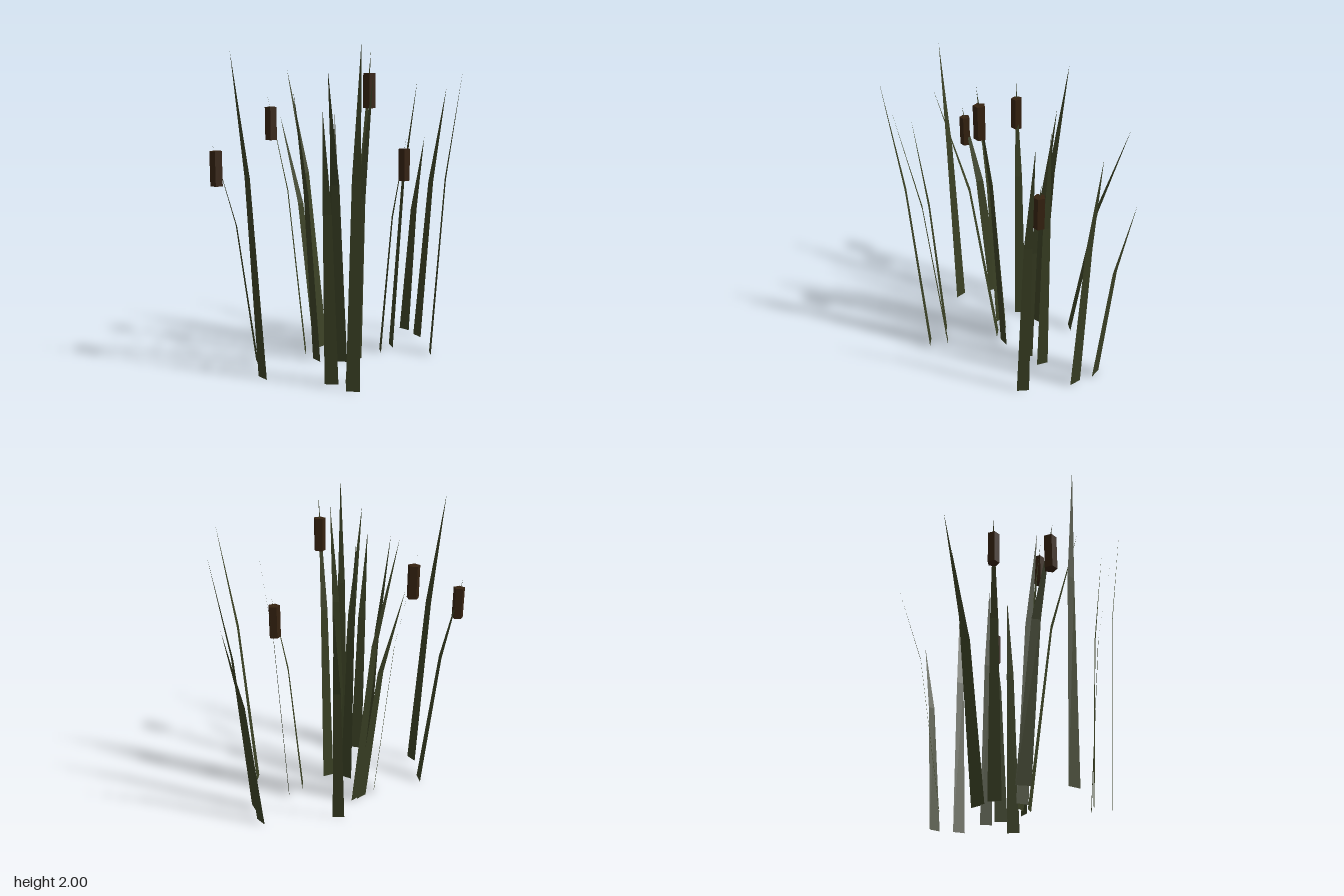
import * as THREE from 'three';

// Each leaf: base corner A (x, z), base corner B (x, z), tip (x, y, z)
const LEAVES = [
  [-0.006, -0.617, 0.076, -0.61, 0.063, 1.40, -0.82],
  [0.146, -0.557, 0.224, -0.526, 0.298, 1.76, -0.704],
  [-0.328, -0.2, -0.272, -0.252, -0.51, 1.57, -0.5],
  [0.459, -0.252, 0.41, -0.317, 0.554, 1.86, -0.435],
  [0.11, -0.283, 0.172, -0.235, 0.265, 1.81, -0.36],
  [-0.054, 0.17, 0.024, 0.148, 0.042, 1.70, 0.295],
  [0.0, 0.2, 0.072, 0.165, 0.19, 1.87, 0.515],
  [-0.15, 0.24, -0.071, 0.265, -0.137, 1.75, 0.426],
  [0.27, 0.46, 0.333, 0.41, 0.524, 1.82, 0.557],
  [0.34, 0.555, 0.41, 0.512, 0.51, 2.0, 0.648],
  [0.172, 0.54, 0.245, 0.498, 0.254, 1.66, 0.652],
  [-0.238, 0.674, -0.156, 0.69, -0.272, 1.97, 0.818],
  [-0.237, -0.028, -0.243, 0.052, -0.555, 1.89, -0.016],
  [-0.257, 0.095, -0.25, 0.015, -0.55, 1.57, 0.064],
];

// Each reed: the same leaf data, then the seed head centre (x, y, z)
const REEDS = [
  [0.11, -0.16, 0.163, -0.1, 0.235, 1.45, -0.285, 0.226, 1.26, -0.267],
  [0.11, 0.055, 0.08, 0.126, 0.242, 1.98, 0.155, 0.226, 1.745, 0.147],
  [-0.437, 0.478, -0.367, 0.53, -0.465, 1.46, 0.797, -0.456, 1.285, 0.767],
  [-0.285, 0.143, -0.24, 0.21, -0.445, 1.75, 0.322, -0.424, 1.535, 0.304],
];

// Flat leaf bent once at 63% of its height, narrowing to a point
function leafGeometry([ax, az, bx, bz, tx, ty, tz]) {
  const cx = (ax + bx) / 2, cz = (az + bz) / 2;
  const mx = cx + (tx - cx) * 0.45, mz = cz + (tz - cz) * 0.45, my = ty * 0.63;
  const hx = (bx - ax) * 0.31, hz = (bz - az) * 0.31;
  const a = [ax, 0, az], b = [bx, 0, bz], tip = [tx, ty, tz];
  const ma = [mx - hx, my, mz - hz], mb = [mx + hx, my, mz + hz];
  const geo = new THREE.BufferGeometry();
  const corners = [a, b, mb, a, mb, ma, ma, mb, tip].flat();
  geo.setAttribute('position', new THREE.Float32BufferAttribute(corners, 3));
  geo.computeVertexNormals();
  return geo;
}

export function createModel() {
  const group = new THREE.Group();
  group.name = 'reedClump';

  const green = new THREE.MeshStandardMaterial({ color: 0x3a4024, side: THREE.DoubleSide });
  green.name = 'leafGreen';
  const brown = new THREE.MeshStandardMaterial({ color: 0x352210, flatShading: true });
  brown.name = 'seedHeadBrown';

  const addLeaf = (data, name, parent) => {
    const mesh = new THREE.Mesh(leafGeometry(data), green);
    mesh.name = name;
    parent.add(mesh);
  };

  // Plain leaves
  LEAVES.forEach((data, i) => addLeaf(data, `leaf${i + 1}`, group));

  // Reeds: a stem leaf carrying an upright five-sided seed head
  const headGeo = new THREE.CylinderGeometry(0.039, 0.039, 0.21, 5, 1, false, Math.PI);
  REEDS.forEach((data, i) => {
    const reed = new THREE.Group();
    reed.name = `reed${i + 1}`;
    addLeaf(data, 'stem', reed);
    const head = new THREE.Mesh(headGeo, brown);
    head.name = 'seedHead';
    head.position.set(data[7], data[8], data[9]);
    reed.add(head);
    group.add(reed);
  });

  return group;
}
